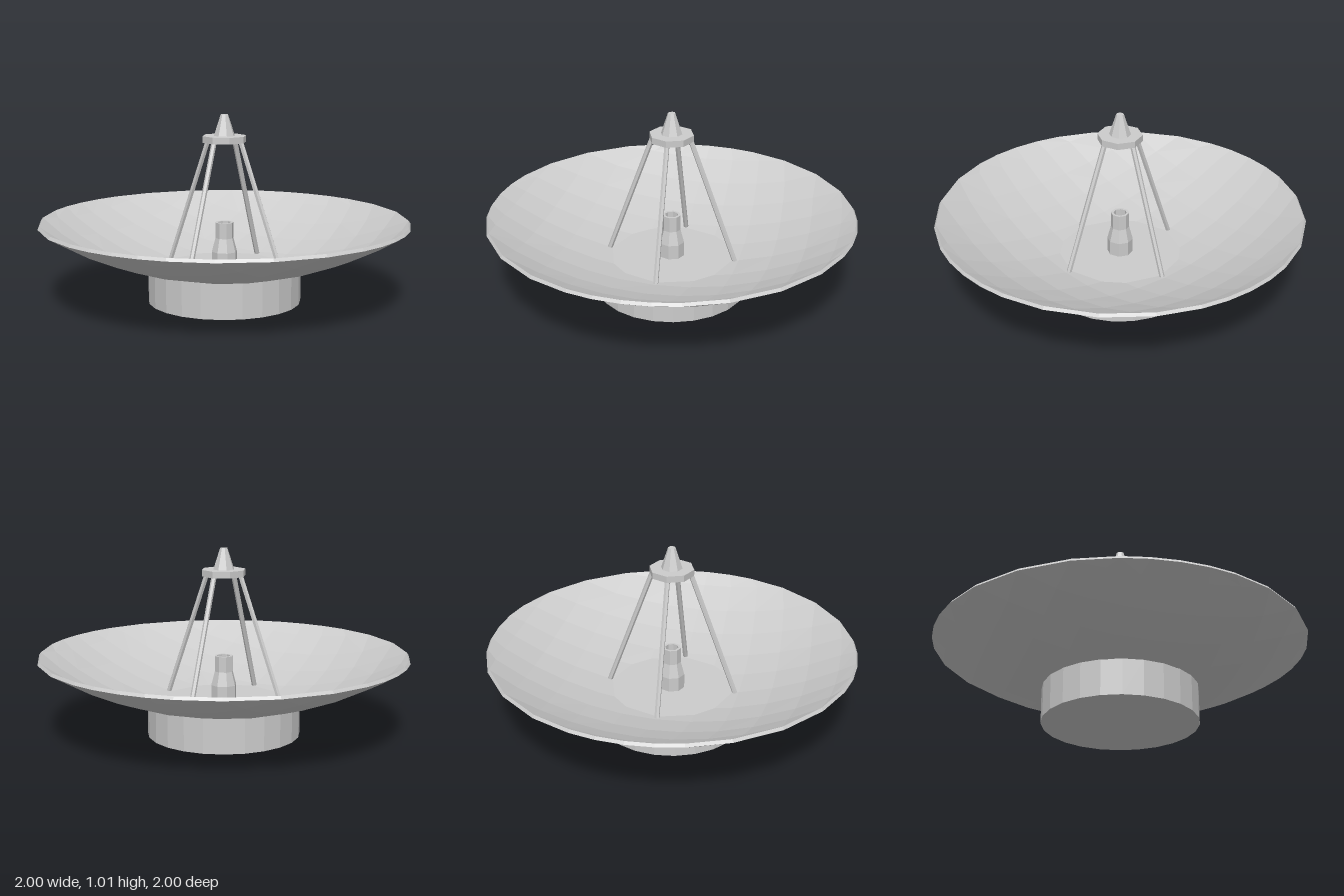
import * as THREE from 'three';

const grey = new THREE.MeshStandardMaterial({ color: 0xcccccc, flatShading: true });

function add(group, name, geometry, x = 0, y = 0, z = 0) {
  const mesh = new THREE.Mesh(geometry, grey);
  mesh.name = name;
  mesh.position.set(x, y, z);
  group.add(mesh);
  return mesh;
}

// Spherical bowl: a square grid bent onto a sphere, with its corners cut off to a round rim
function dishGeometry() {
  const N = 6, CUT = 8, R = 1.87, STEP = 0.102, CENTRE = 2.012, THICK = 0.015;
  const inside = ([i, j]) => Math.abs(i) + Math.abs(j) <= CUT;
  const onRim = ([i, j]) =>
    Math.abs(i) + Math.abs(j) === CUT || Math.max(Math.abs(i), Math.abs(j)) === N;

  function point(cell, top) {
    const dir = new THREE.Vector3(Math.tan(cell[0] * STEP), -1, Math.tan(cell[1] * STEP));
    dir.setLength(R);
    let r = Math.hypot(dir.x, dir.z);
    const angle = Math.atan2(dir.x, dir.z);
    if (onRim(cell)) r = 1;
    const y = CENTRE - Math.sqrt(R * R - r * r) + (top ? THICK : 0);
    if (top) r *= 0.99;
    return [r * Math.sin(angle), y, r * Math.cos(angle)];
  }

  const pos = [];
  const face = (pts) => {
    for (let k = 1; k + 1 < pts.length; k++) pos.push(...pts[0], ...pts[k], ...pts[k + 1]);
  };

  // inner and outer surfaces
  for (let i = -N; i < N; i++) {
    for (let j = -N; j < N; j++) {
      const cells = [[i, j], [i, j + 1], [i + 1, j + 1], [i + 1, j]].filter(inside);
      if (cells.length < 3) continue;
      face(cells.map((c) => point(c, true)));
      face(cells.map((c) => point(c, false)).reverse());
    }
  }

  // rim wall joining both surfaces
  const rim = [];
  for (let i = -N; i <= N; i++) {
    for (let j = -N; j <= N; j++) if (inside([i, j]) && onRim([i, j])) rim.push([i, j]);
  }
  rim.sort((a, b) => Math.atan2(a[0], a[1]) - Math.atan2(b[0], b[1]));
  rim.forEach((a, k) => {
    const b = rim[(k + 1) % rim.length];
    face([point(a, false), point(b, false), point(b, true), point(a, true)]);
  });

  const geometry = new THREE.BufferGeometry();
  geometry.setAttribute('position', new THREE.Float32BufferAttribute(pos, 3));
  geometry.computeVertexNormals();
  return geometry;
}

export function createModel() {
  const model = new THREE.Group();
  model.name = 'dishAntenna';

  add(model, 'base', new THREE.CylinderGeometry(0.415, 0.415, 0.19, 24), 0, 0.095, 0);
  add(model, 'dish', dishGeometry());

  // Hollow feed horn in the middle of the dish
  const horn = [[0.07, 0.14], [0.07, 0.27], [0.05, 0.345], [0.05, 0.43], [0.036, 0.43], [0.036, 0.3], [0, 0.3]]
    .map(([x, y]) => new THREE.Vector2(x, y));
  add(model, 'feedHorn', new THREE.LatheGeometry(horn, 8));

  // Four slanted struts, one along each axis
  const foot = new THREE.Vector3(0, 0.165, 0.362);
  const head = new THREE.Vector3(0, 0.88, 0.1);
  const struts = new THREE.Group();
  struts.name = 'struts';
  for (let k = 0; k < 4; k++) {
    const arm = new THREE.Group();
    arm.name = 'strut' + (k + 1);
    const along = head.clone().sub(foot);
    const mid = head.clone().add(foot).multiplyScalar(0.5);
    const rod = add(arm, 'rod', new THREE.CylinderGeometry(0.014, 0.014, along.length(), 6), mid.x, mid.y, mid.z);
    rod.quaternion.setFromUnitVectors(new THREE.Vector3(0, 1, 0), along.normalize());
    arm.rotation.y = k * Math.PI / 2;
    struts.add(arm);
  }
  model.add(struts);

  // Plate and tapered cap carried by the struts
  add(model, 'topPlate', new THREE.CylinderGeometry(0.12, 0.12, 0.035, 8), 0, 0.883, 0);
  add(model, 'topCone', new THREE.CylinderGeometry(0.02, 0.058, 0.115, 8), 0, 0.957, 0);

  return model;
}
